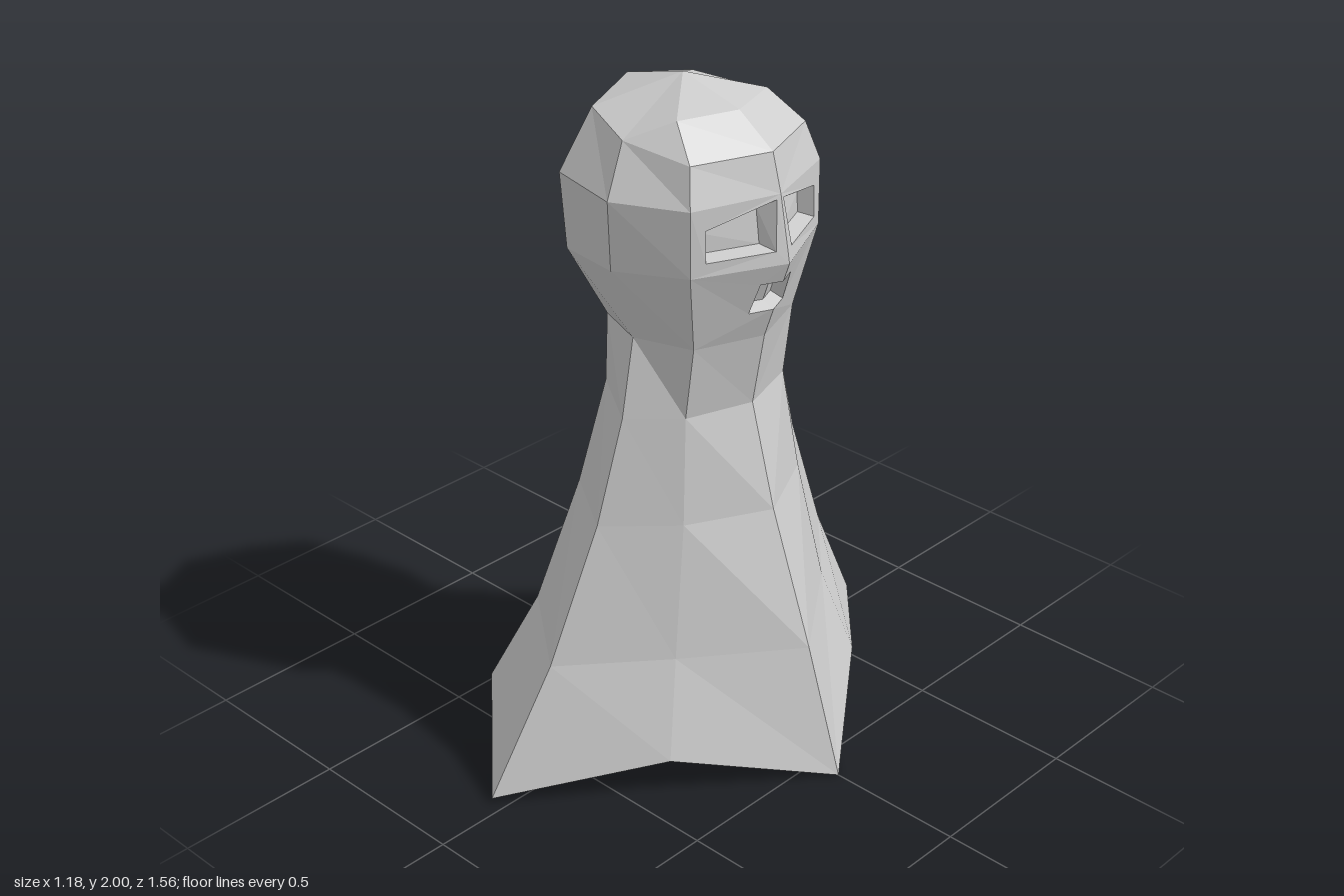
import * as THREE from 'three';

// Half cross-sections from the hem to the crown: five [x, y, z] corners each,
// running from the face (+x) round one side to the back (-x).
const rings = [
  [[0.59, 0.005, 0], [0.3, 0.12, 0.4], [-0.04, 0.02, 0.78], [-0.36, 0.15, 0.485], [-0.59, 0.065, 0]],
  [[0.465, 0.39, 0], [0.24, 0.4, 0.315], [0, 0.39, 0.575], [-0.26, 0.42, 0.38], [-0.435, 0.43, 0]],
  [[0.32, 0.79, 0], [0.2, 0.79, 0.24], [0.03, 0.79, 0.41], [-0.17, 0.81, 0.285], [-0.335, 0.82, 0]],
  [[0.235, 1.1, 0], [0.17, 1.1, 0.2], [0.045, 1.1, 0.32], [-0.115, 1.13, 0.225], [-0.22, 1.13, 0]],
  [[0.275, 1.32, 0], [0.2, 1.32, 0.2], [0.04, 1.33, 0.27], [-0.12, 1.33, 0.21], [-0.235, 1.34, 0]],
  [[0.36, 1.56, 0], [0.24, 1.56, 0.255], [0.035, 1.55, 0.345], [-0.19, 1.53, 0.29], [-0.36, 1.55, 0]],
  [[0.325, 1.75, 0], [0.24, 1.75, 0.255], [0.035, 1.75, 0.353], [-0.205, 1.75, 0.297], [-0.355, 1.75, 0]],
  [[0.295, 1.86, 0], [0.21, 1.86, 0.225], [0.01, 1.89, 0.27], [-0.18, 1.915, 0.195], [-0.24, 1.945, 0]],
  [[0.175, 1.945, 0], [0.115, 1.945, 0.175], [0.01, 1.89, 0.27], [-0.18, 1.915, 0.195], [-0.24, 1.945, 0]],
  Array(5).fill([-0.03, 2, 0]),
].map((ring) => ring.map((p) => new THREE.Vector3(...p)));

const material = new THREE.MeshStandardMaterial({ color: 0xcccccc, flatShading: true });

// Collects faces, mirrors each one across z = 0 and skips those without area
class HalfMesh {
  positions = [];
  tri(a, b, c) {
    const area = b.clone().sub(a).cross(c.clone().sub(a)).length();
    if (area < 1e-7) return;
    for (const p of [a, b, c]) this.positions.push(p.x, p.y, p.z);
    for (const p of [c, b, a]) this.positions.push(p.x, p.y, -p.z);
  }
  quad(a, b, c, d) {
    this.tri(a, b, c);
    this.tri(a, c, d);
  }
  build(name) {
    const geometry = new THREE.BufferGeometry();
    geometry.setAttribute('position', new THREE.Float32BufferAttribute(this.positions, 3));
    geometry.computeVertexNormals();
    const mesh = new THREE.Mesh(geometry, material);
    mesh.name = name;
    return mesh;
  }
}

// Strip of faces between two rings
function strip(mesh, low, high, first = 0) {
  for (let c = first; c < 4; c++) mesh.quad(low[c], high[c], high[c + 1], low[c + 1]);
}

// Panel with a sunken opening; hole and floor corners are [across, up] fractions
function recessedPanel(name, low, high, hole, floor, depth, openAtCentre) {
  const mesh = new HalfMesh();
  const at = ([u, v]) => low[0].clone().lerp(low[1], u).lerp(high[0].clone().lerp(high[1], u), v);
  const outer = [low[0], high[0], high[1], low[1]];
  const rim = hole.map(at);
  const base = floor.map((uv) => at(uv).add(new THREE.Vector3(-depth, 0, 0)));
  for (let k = 0; k < 4; k++) {
    const n = (k + 1) % 4;
    mesh.quad(outer[k], outer[n], rim[n], rim[k]);
    if (k > 0 || !openAtCentre) mesh.quad(rim[k], rim[n], base[n], base[k]);
  }
  mesh.quad(...base);
  return mesh.build(name);
}

export function createModel() {
  const group = new THREE.Group();
  group.name = 'hoodedFigure';

  // Flared robe and neck
  const robe = new HalfMesh();
  for (let r = 0; r < 4; r++) strip(robe, rings[r], rings[r + 1]);
  group.add(robe.build('robe'));

  // Head, leaving the two front rows for the face
  const head = new HalfMesh();
  for (let r = 4; r < 9; r++) strip(head, rings[r], rings[r + 1], r < 6 ? 1 : 0);
  group.add(head.build('head'));

  // Face: a centred mouth and a pair of slanted eyes beside the nose ridge
  group.add(recessedPanel('mouthPanel', rings[4], rings[5],
    [[0, 0.37], [0, 0.76], [0.25, 0.76], [0.31, 0.37]],
    [[0, 0.44], [0, 0.68], [0.22, 0.68], [0.25, 0.44]], 0.045, true));
  group.add(recessedPanel('eyePanels', rings[5], rings[6],
    [[0.12, 0.2], [0.05, 0.93], [0.84, 0.68], [0.84, 0.2]],
    [[0.15, 0.25], [0.14, 0.78], [0.75, 0.55], [0.75, 0.25]], 0.05, false));

  // Hollow inside of the robe, with its thick hem
  const inner = rings.slice(0, 4).map((ring) =>
    ring.map((p) => new THREE.Vector3(p.x * 0.8, p.y, p.z * 0.8)));
  const hem = new HalfMesh();
  strip(hem, inner[0], rings[0]);
  group.add(hem.build('hem'));

  const lining = new HalfMesh();
  for (let r = 0; r < 3; r++) strip(lining, inner[r + 1], inner[r]);
  const centre = new THREE.Vector3(0, 1.11, 0);
  strip(lining, Array(5).fill(centre), inner[3]);
  group.add(lining.build('lining'));

  return group;
}
